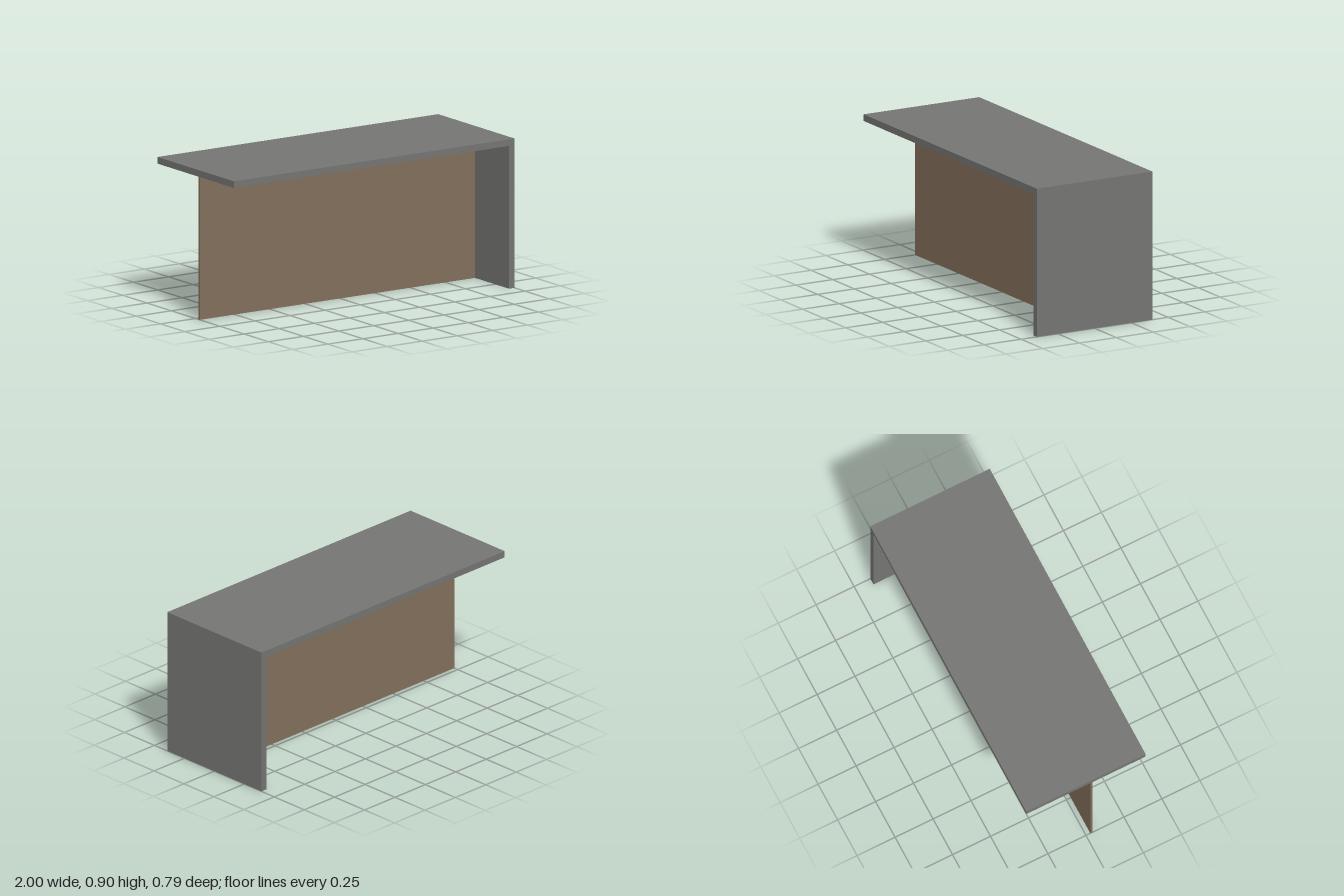
import * as THREE from 'three';

const WIDTH = 2, HEIGHT = 0.897, DEPTH = 0.786, BOARD = 0.04;

export function createModel() {
  const grey = new THREE.MeshStandardMaterial({ color: 0x757573 });
  grey.name = 'grey laminate';
  const brown = new THREE.MeshStandardMaterial({ color: 0x83705c });
  brown.name = 'brown wood';

  const desk = new THREE.Group();
  desk.name = 'desk';

  // Top and side panel joined as one L-shaped profile
  const half = WIDTH / 2;
  const profile = new THREE.Shape([
    [-half, HEIGHT], [-half, HEIGHT - BOARD], [half - BOARD, HEIGHT - BOARD],
    [half - BOARD, 0], [half, 0], [half, HEIGHT],
  ].map(([x, y]) => new THREE.Vector2(x, y)));
  const frameGeometry = new THREE.ExtrudeGeometry(profile, { depth: DEPTH, bevelEnabled: false });
  frameGeometry.translate(0, 0, -DEPTH / 2);
  const frame = new THREE.Mesh(frameGeometry, grey);
  frame.name = 'topAndSidePanel';
  desk.add(frame);

  // Thin upright panel under the top, just in front of the middle
  const panel = new THREE.Mesh(
    new THREE.BoxGeometry(WIDTH - BOARD, HEIGHT - BOARD, 0.015), brown);
  panel.name = 'modestyPanel';
  panel.position.set(-BOARD / 2, (HEIGHT - BOARD) / 2, 0.036);
  desk.add(panel);

  return desk;
}
